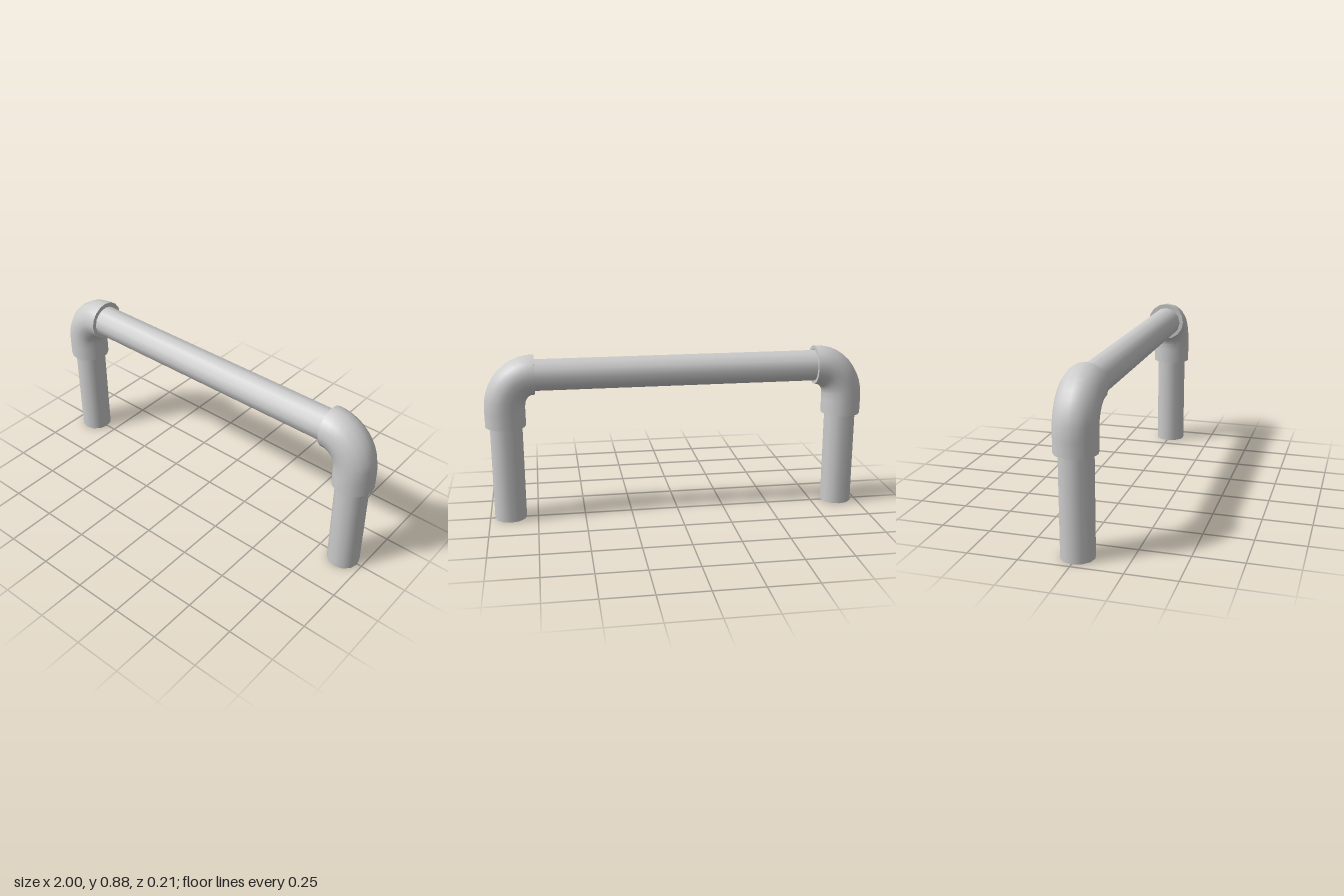
import * as THREE from 'three';

const material = new THREE.MeshStandardMaterial({ color: 0xcccccc, side: THREE.DoubleSide });
const PIPE_R = 0.083, ELBOW_R = 0.104, Z = 0.003;

function add(parent, name, geometry, x, y, z) {
  const mesh = new THREE.Mesh(geometry, material);
  mesh.name = name;
  mesh.position.set(x, y, z);
  parent.add(mesh);
  return mesh;
}

// open-ended pipe along y
const pipe = (length) => new THREE.CylinderGeometry(PIPE_R, PIPE_R, length, 12, 1, true);
// flat lip closing the gap between fitting and pipe
const lip = () => new THREE.RingGeometry(PIPE_R - 0.003, ELBOW_R, 16);

export function createModel() {
  const model = new THREE.Group();
  model.name = 'pipeFrame';

  // horizontal rail
  add(model, 'rail', pipe(1.54), 0, 0.767, Z).rotation.z = Math.PI / 2;

  for (const s of [-1, 1]) {
    const side = s > 0 ? 'left' : 'right';

    // upright leg, its top hidden in the elbow
    add(model, side + 'Leg', pipe(0.56), s * 0.893, 0.28, Z);

    // elbow fitting: straight socket, then a quarter bend towards the rail
    const points = [[0.895, 0.505], [0.895, 0.555]];
    for (let i = 0; i <= 6; i++) {
      const a = (i / 6) * Math.PI / 2;
      points.push([0.745 + 0.15 * Math.cos(a), 0.605 + 0.166 * Math.sin(a)]);
    }
    points.push([0.737, 0.771]);
    const path = new THREE.CatmullRomCurve3(points.map(([x, y]) => new THREE.Vector3(s * x, y, 0)));
    const elbow = new THREE.Group();
    elbow.name = side + 'Elbow';
    model.add(elbow);
    add(elbow, side + 'Bend', new THREE.TubeGeometry(path, 14, ELBOW_R, 16), 0, 0, Z);

    // lips at both openings
    add(elbow, side + 'LowerLip', lip(), s * 0.895, 0.505, Z).rotation.x = Math.PI / 2;
    add(elbow, side + 'InnerLip', lip(), s * 0.737, 0.771, Z).rotation.y = -s * Math.PI / 2;
  }
  return model;
}
